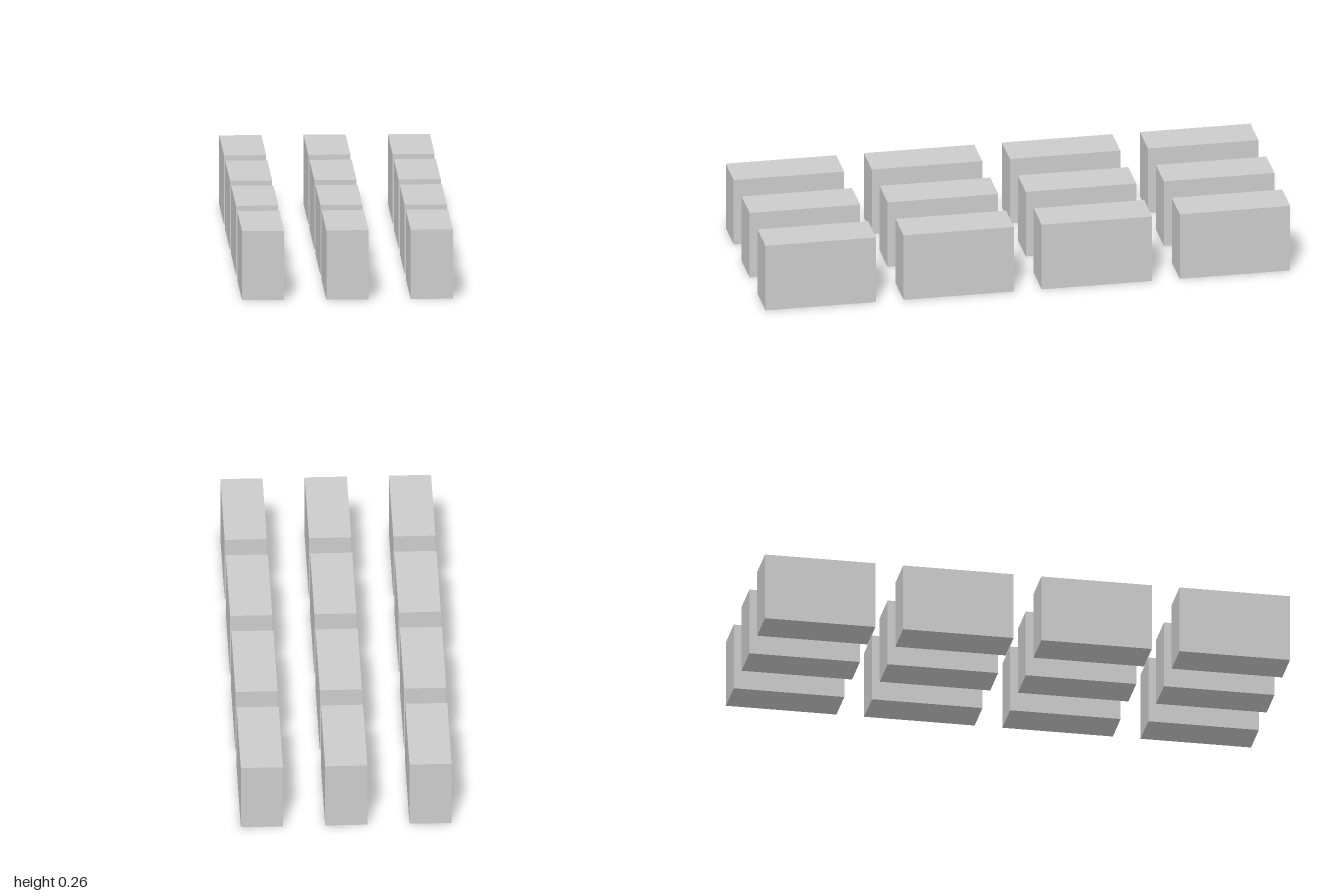
import * as THREE from 'three';

const UNIT = 1 / 19; // module on which all sizes are based
const WIDTH = 3 * UNIT, HEIGHT = 5 * UNIT, LENGTH = 8 * UNIT;
const GAP_X = 3 * UNIT, GAP_Z = 2 * UNIT;
const COLUMNS = 3, ROWS = 4;

export function createModel() {
  const model = new THREE.Group();
  model.name = 'blockGrid';
  const material = new THREE.MeshStandardMaterial({ color: 0xcccccc, flatShading: true });
  const geometry = new THREE.BoxGeometry(WIDTH, HEIGHT, LENGTH);

  // Rows run front to back, each holding three separate blocks
  for (let row = 0; row < ROWS; row++) {
    const rowGroup = new THREE.Group();
    rowGroup.name = `blockRow${row + 1}`;
    rowGroup.position.z = ((ROWS - 1) / 2 - row) * (LENGTH + GAP_Z);
    for (let col = 0; col < COLUMNS; col++) {
      const block = new THREE.Mesh(geometry, material);
      block.name = `block${row + 1}_${col + 1}`;
      block.position.set((col - (COLUMNS - 1) / 2) * (WIDTH + GAP_X), HEIGHT / 2, 0);
      rowGroup.add(block);
    }
    model.add(rowGroup);
  }
  return model;
}
